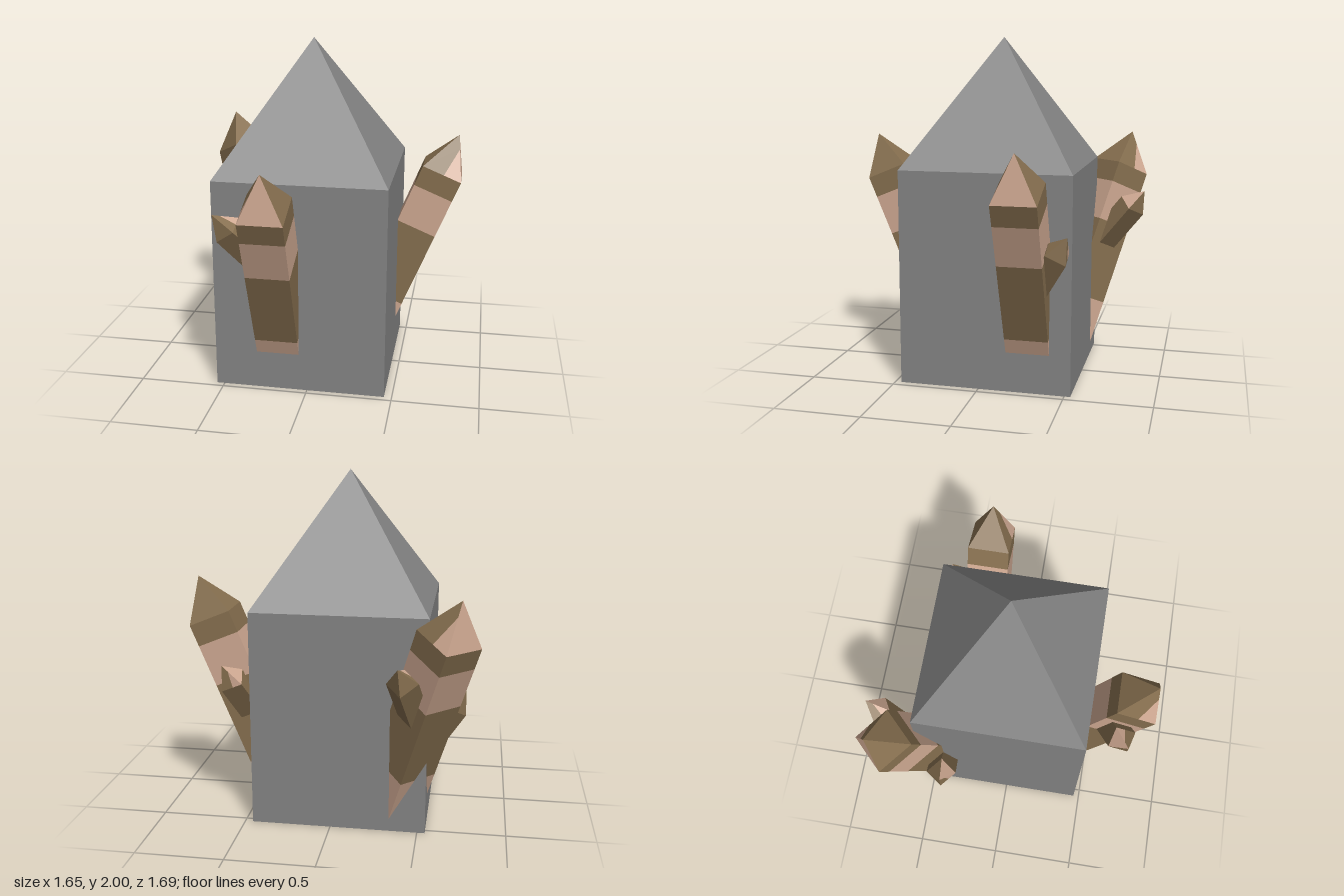
import * as THREE from 'three';
import { mergeGeometries } from 'three/addons/utils/BufferGeometryUtils.js';

const stone = new THREE.MeshStandardMaterial({ color: 0x848484, name: 'grey stone' });
const brown = new THREE.MeshStandardMaterial({ color: 0x866f4f, name: 'earth brown' });
const pink = new THREE.MeshStandardMaterial({ color: 0xcfa992, name: 'dusty pink' });

// Flat-sided square solid or tube from [width, y] profile points, bottom to top
function square(profile) {
  const pts = profile.map(([w, y]) => new THREE.Vector2(w / Math.SQRT2, y));
  const g = new THREE.LatheGeometry(pts, 4, Math.PI / 4).toNonIndexed();
  g.computeVertexNormals();
  return g;
}

// Triangles from lists of three corners, turned about y
function triangles(list, turn) {
  const g = new THREE.BufferGeometry().setFromPoints(list.flat());
  g.rotateY(turn);
  g.computeVertexNormals();
  return g;
}

function part(name, geometry, material) {
  const m = new THREE.Mesh(geometry, material);
  m.name = name;
  return m;
}

// Four-sided point: outer face pink, one side partly pink, the rest brown
function tip(width, height) {
  const h = width / 2;
  const L = new THREE.Vector3(-h, 0, h), R = new THREE.Vector3(h, 0, h);
  const A = new THREE.Vector3(0, height, 0);
  const P = R.clone().lerp(L, 0.45), Q = R.clone().lerp(A, 0.7);
  const q = Math.PI / 2;
  return [
    part('tipPink', mergeGeometries([
      triangles([[L, R, A]], 0),
      triangles([[P, R, Q]], 3 * q),
    ]), pink),
    part('tipBrown', mergeGeometries([
      triangles([[L, R, A]], q),
      triangles([[L, R, A]], 2 * q),
      triangles([[L, P, Q], [L, Q, A]], 3 * q),
    ]), brown),
  ];
}

// Crystal with its origin at the base of the tip; bands are [bottom, top, material]
function crystal(name, width, tipHeight, bands) {
  const g = new THREE.Group();
  g.name = name;
  bands.forEach(([y0, y1, mat], i) =>
    g.add(part('shaftBand' + (i + 1), square([[width, y0], [width, y1]]), mat)));
  g.add(...tip(width, tipHeight));
  return g;
}

const BANDS = [[-1.2, -0.88, pink], [-0.88, -0.38, brown], [-0.38, -0.13, pink], [-0.13, 0, brown]];

// Large crystals leaning out of the body; shoots are [x, y, lean in degrees]
const CRYSTALS = [
  { name: 'frontCrystal', at: [-0.172, 1.18, 0.725], turn: 0, shoots: [[-0.22, -0.149, 37]] },
  { name: 'leftCrystal', at: [0.713, 1.18, -0.287], turn: 90, shoots: [[0.185, -0.371, -29]] },
  { name: 'backCornerCrystal', at: [-0.655, 1.18, -0.675], turn: 225,
    shoots: [[0.23, -0.509, -28], [-0.235, -0.24, 33]] },
];

export function createModel() {
  const model = new THREE.Group();
  model.name = 'crystalCluster';

  // Main pillar with pyramid top
  const body = part('mainPillar', square([[0, 0], [1, 0], [1, 1.25], [0, 2]]), stone);
  body.position.set(-0.045, 0, -0.035);
  model.add(body);

  const rad = THREE.MathUtils.degToRad;
  for (const { name, at, turn, shoots } of CRYSTALS) {
    const big = crystal(name, 0.25, 0.24, BANDS);
    big.position.set(...at);
    big.rotation.set(rad(22.5), rad(turn), 0, 'YXZ');
    // Small shoots growing from the sides
    for (const [x, y, lean] of shoots) {
      const small = crystal('smallShoot', 0.125, 0.125, [[-0.42, 0, brown]]);
      small.position.set(x, y, 0);
      small.rotation.set(0, Math.PI, rad(lean), 'ZYX');
      big.add(small);
    }
    model.add(big);
  }
  return model;
}
